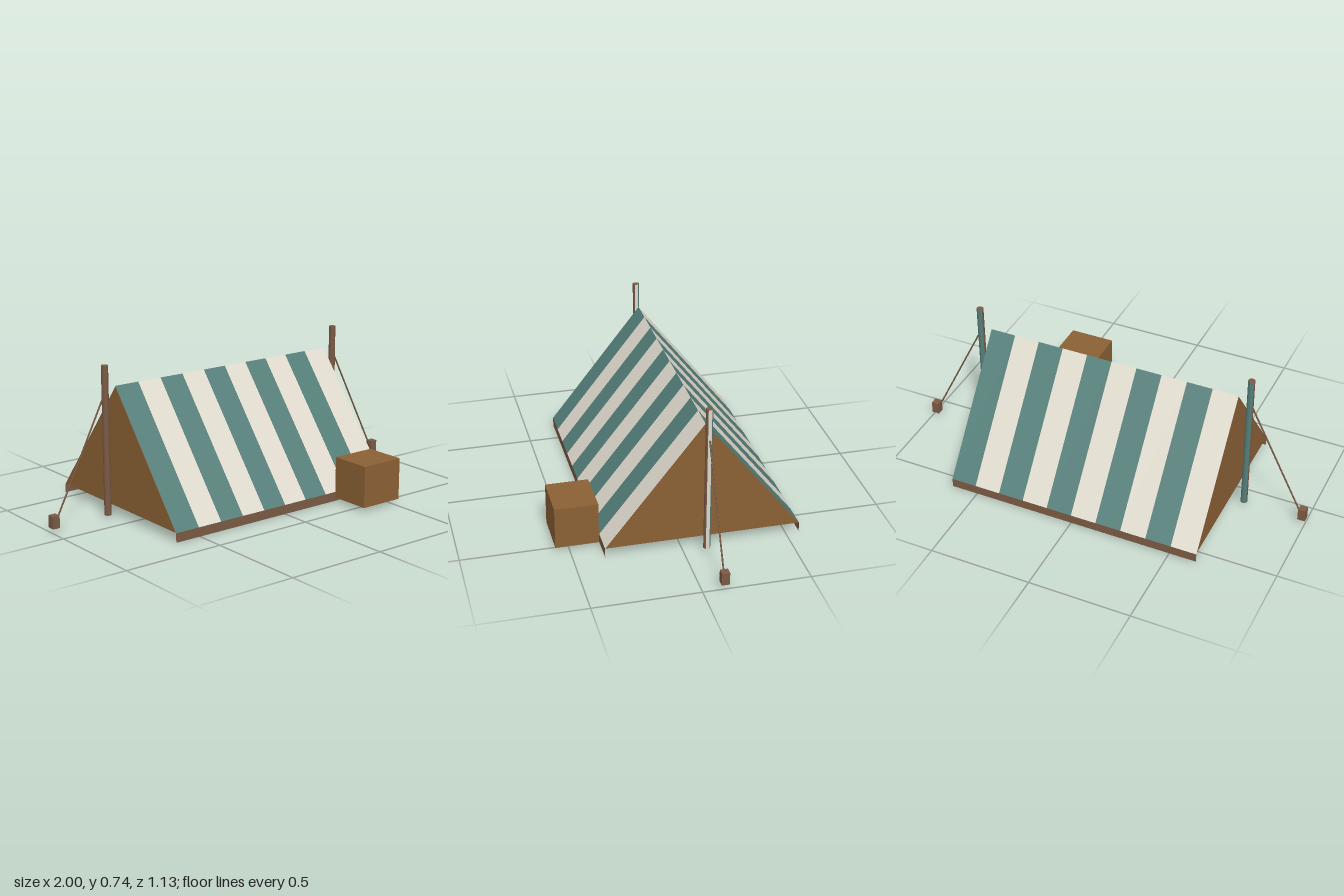
import * as THREE from 'three';

const HALF = 0.633, RIDGE_Y = 0.63, RIDGE_Z = -0.105, EAVE_Y = 0.045, SPAN = 0.46;
const STRIPES = 10;

function paint(name, color, side = THREE.FrontSide) {
  const m = new THREE.MeshStandardMaterial({ color, side });
  m.name = name;
  return m;
}

// Flat polygon from corners listed counter-clockwise as seen from its front
function panel(corners) {
  const g = new THREE.BufferGeometry();
  g.setAttribute('position', new THREE.Float32BufferAttribute(corners.flat(), 3));
  g.setIndex(corners.length === 3 ? [0, 1, 2] : [0, 1, 2, 0, 2, 3]);
  g.computeVertexNormals();
  return g;
}

export function createModel() {
  const model = new THREE.Group();
  model.name = 'ridgeTent';

  const cream = paint('cream canvas', 0xdfdacd);
  const teal = paint('teal canvas', 0x547e79);
  const tan = paint('tan wood', 0x8b6135, THREE.DoubleSide);
  const brown = paint('brown wood', 0x7b5a44, THREE.DoubleSide);

  const add = (name, geometry, material, parent = model) => {
    const mesh = new THREE.Mesh(geometry, material);
    mesh.name = name;
    parent.add(mesh);
    return mesh;
  };
  const box = (name, w, h, d, x, y, z, material) =>
    add(name, new THREE.BoxGeometry(w, h, d), material).position.set(x, y, z);

  // Striped roof slopes, each with a brown lining and a hanging edge strip.
  // The back is the front turned half round the ridge.
  for (const back of [false, true]) {
    const slope = new THREE.Group();
    slope.name = back ? 'backSlope' : 'frontSlope';
    slope.position.z = RIDGE_Z;
    slope.rotation.y = back ? Math.PI : 0;
    model.add(slope);

    const w = (2 * HALF) / STRIPES;
    for (let i = 0; i < STRIPES; i++) {
      const a = -HALF + i * w, b = a + w;
      add('roofStripe', panel([
        [a, EAVE_Y, SPAN], [b, EAVE_Y, SPAN], [b, RIDGE_Y, 0], [a, RIDGE_Y, 0],
      ]), i % 2 ? cream : teal, slope);
    }
    const inset = 0.004;
    add('lining', panel([
      [HALF, EAVE_Y, SPAN - inset], [-HALF, EAVE_Y, SPAN - inset],
      [-HALF, RIDGE_Y - inset, 0], [HALF, RIDGE_Y - inset, 0],
    ]), brown, slope);
    add('edgeStrip', panel([
      [-HALF, 0, SPAN], [HALF, 0, SPAN], [HALF, EAVE_Y, SPAN], [-HALF, EAVE_Y, SPAN],
    ]), brown, slope);
  }

  // Pole geometry: cream, teal and brown around its sides, brown at the ends
  const poleGeometry = new THREE.CylinderGeometry(0.0165, 0.0165, 0.715, 12);
  poleGeometry.clearGroups();
  poleGeometry.addGroup(0, 12, 2);
  poleGeometry.addGroup(12, 12, 0);
  poleGeometry.addGroup(24, 24, 1);
  poleGeometry.addGroup(48, 96, 2);

  for (const s of [1, -1]) {
    // Gable wall
    const x = s * (HALF - 0.002);
    add('gable', panel([
      [x, EAVE_Y, RIDGE_Z + s * SPAN], [x, EAVE_Y, RIDGE_Z - s * SPAN], [x, RIDGE_Y, RIDGE_Z],
    ]), tan);

    // Pole, guy rope and ground stake
    add('pole', poleGeometry, [cream, teal, brown]).position.set(s * 0.69, 0.3775, RIDGE_Z);
    const rope = new THREE.LineCurve3(
      new THREE.Vector3(s * 0.695, 0.6, RIDGE_Z), new THREE.Vector3(s * 0.975, 0.04, RIDGE_Z));
    add('guyRope', new THREE.TubeGeometry(rope, 1, 0.004, 6), brown);
    box('stake', 0.037, 0.06, 0.037, s * 0.9815, 0.05, RIDGE_Z, brown);
  }

  // Crate by the front edge
  box('crate', 0.225, 0.203, 0.203, 0.421, 0.1215, 0.4635, tan);

  return model;
}
